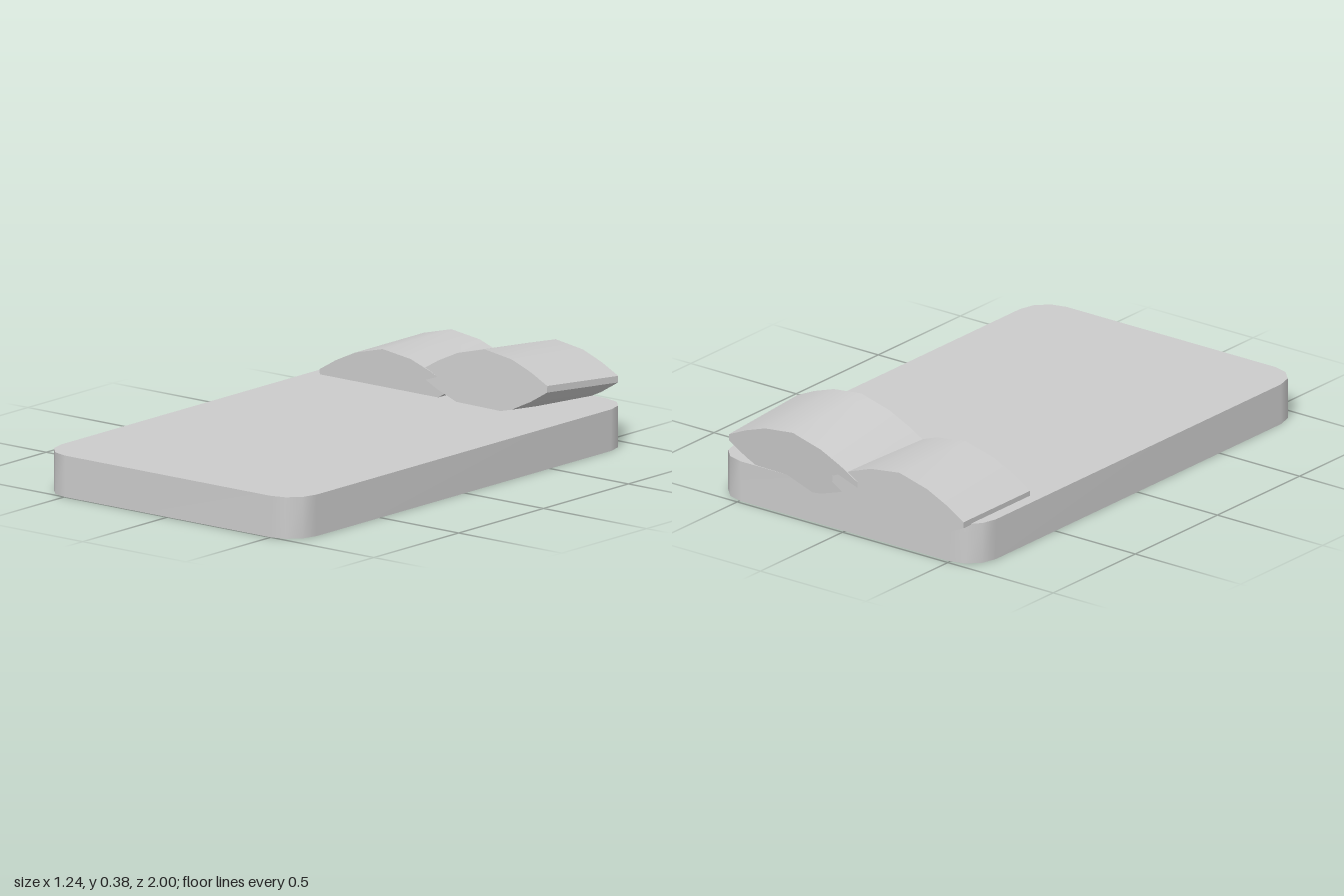
import * as THREE from 'three';
import { mergeVertices, toCreasedNormals } from 'three/addons/utils/BufferGeometryUtils.js';

const grey = new THREE.MeshStandardMaterial({ color: 0xcccccc, side: THREE.DoubleSide });

const HALF_W = 0.62, HALF_L = 0.9925, MID_Z = 0.0075, HEIGHT = 0.16;

// Rounded rectangle outline with four points per corner, counter-clockwise
function mattressOutline() {
  const r = 0.125, points = [];
  [[1, 1], [-1, 1], [-1, -1], [1, -1]].forEach(([sx, sy], corner) => {
    for (let i = 0; i <= 3; i++) {
      const a = (corner + i / 3) * Math.PI / 2;
      points.push(new THREE.Vector2(
        sx * (HALF_W - r) + r * Math.cos(a),
        sy * (HALF_L - r) + r * Math.sin(a)));
    }
  });
  return points;
}

// Shell walls, open below
function wallGeometry(outline) {
  const positions = [], index = [], n = outline.length;
  for (const p of outline) positions.push(p.x, 0, -p.y, p.x, HEIGHT, -p.y);
  for (let i = 0; i < n; i++) {
    const a = 2 * i, b = 2 * ((i + 1) % n);
    index.push(a, b, b + 1, a, b + 1, a + 1);
  }
  const g = new THREE.BufferGeometry();
  g.setAttribute('position', new THREE.Float32BufferAttribute(positions, 3));
  g.setIndex(index);
  g.computeVertexNormals();
  return g;
}

// Lens-shaped cushion, extruded along z and centred on the origin
function pillowGeometry() {
  const top = [[-0.312, 0.0125], [-0.23, 0.055], [-0.135, 0.093], [0, 0.12],
    [0.135, 0.095], [0.23, 0.056], [0.312, 0.0125]];
  const bottom = top.map(([x, y]) => [x, -y]).reverse();
  const shape = new THREE.Shape([...bottom, ...top].map(([x, y]) => new THREE.Vector2(x, y)));
  const depth = 0.405;
  const g = new THREE.ExtrudeGeometry(shape, { depth, bevelEnabled: false });
  g.translate(0, 0, -depth / 2);
  g.deleteAttribute('normal');
  g.deleteAttribute('uv');
  return toCreasedNormals(mergeVertices(g), 0.6);
}

export function createModel() {
  const model = new THREE.Group();
  model.name = 'bed';
  const add = (name, geometry, parent = model) => {
    const mesh = new THREE.Mesh(geometry, grey);
    mesh.name = name;
    parent.add(mesh);
    return mesh;
  };

  // Mattress: walls and a flat top
  const mattress = new THREE.Group();
  mattress.name = 'mattress';
  mattress.position.z = MID_Z;
  model.add(mattress);
  const outline = mattressOutline();
  add('mattressSides', wallGeometry(outline), mattress);
  const topGeometry = new THREE.ShapeGeometry(new THREE.Shape(outline));
  topGeometry.rotateX(-Math.PI / 2).translate(0, HEIGHT, 0);
  add('mattressTop', topGeometry, mattress);

  // Pillows: one lying flat, the other leaning on it
  const pillow = pillowGeometry();
  const right = add('rightPillow', pillow);
  right.position.set(-0.262, 0.185, -0.796);
  right.rotation.z = 0.056;

  const left = add('leftPillow', pillow);
  left.position.set(0.235, 0.242, -0.79);
  left.rotation.set(-0.087, -0.03, 0.056);

  return model;
}
